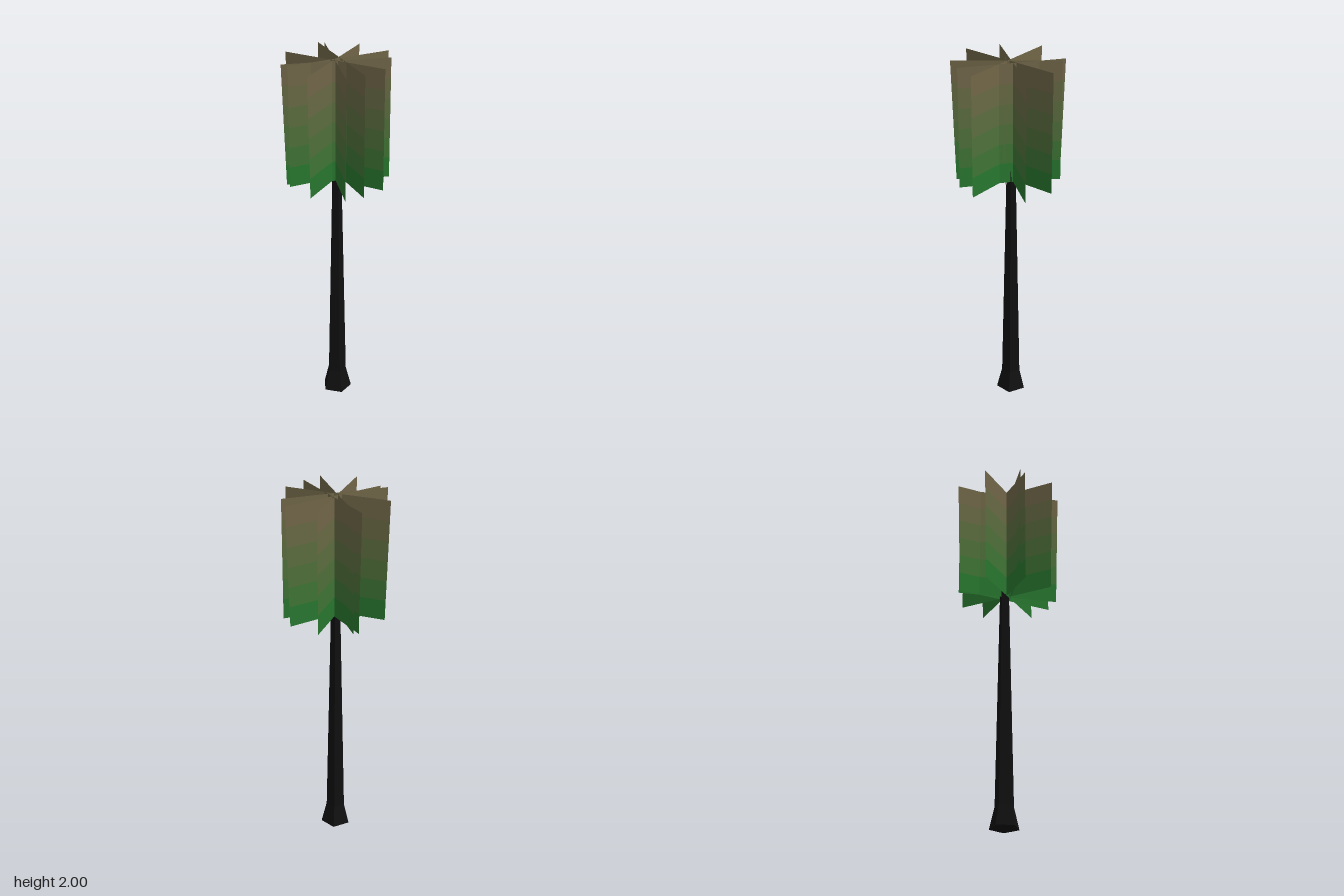
import * as THREE from 'three';

const TOP = 2, BOTTOM = 1.33, BANDS = 6;

// Each blade seen from above: short end (x, z), then long end (x, z)
const BLADES = [
  [0.168, 0.22, -0.215, -0.21],
  [0.025, -0.272, -0.068, 0.295],
  [0.19, -0.192, -0.235, 0.19],
  [0.265, 0.067, -0.3, -0.03],
  [-0.275, 0.007, 0.295, -0.04],
  [0.04, 0.272, -0.005, -0.295],
];

// Upright strip of a blade between two heights (t = 0 bottom, 1 top);
// the long end leans outward towards the top
function bladeStrip([ax, az, bx, bz], t0, t1) {
  const corners = [];
  for (const t of [t0, t1]) {
    const y = THREE.MathUtils.lerp(BOTTOM, TOP, t);
    const k = 1 - 0.035 * (1 - t);
    corners.push(ax, y, az, ax + (bx - ax) * k, y, az + (bz - az) * k);
  }
  const geometry = new THREE.BufferGeometry();
  geometry.setAttribute('position', new THREE.Float32BufferAttribute(corners, 3));
  geometry.setIndex([0, 1, 3, 0, 3, 2]);
  geometry.computeVertexNormals();
  return geometry;
}

export function createModel() {
  const model = new THREE.Group();
  model.name = 'tree';

  // Five-sided trunk with a flared foot
  const profile = [[0, 0], [0.083, 0], [0.053, 0.12], [0.027, 1.33], [0.018, 1.7], [0, 1.7]]
    .map(([r, y]) => new THREE.Vector2(r, y));
  const trunk = new THREE.Mesh(
    new THREE.LatheGeometry(profile, 5),
    new THREE.MeshStandardMaterial({ color: 0x101011, flatShading: true }),
  );
  trunk.name = 'trunk';
  trunk.position.set(-0.006, 0, -0.012);
  model.add(trunk);

  // Foliage colour bands, green at the bottom fading to brown at the top
  const green = new THREE.Color(0x14782c), brown = new THREE.Color(0x75644a);
  const materials = Array.from({ length: BANDS }, (_, i) => new THREE.MeshStandardMaterial({
    color: green.clone().lerp(brown, (i + 0.5) / BANDS),
    side: THREE.DoubleSide,
    flatShading: true,
  }));

  // Crossed foliage blades
  const foliage = new THREE.Group();
  foliage.name = 'foliage';
  for (const ends of BLADES) {
    const blade = new THREE.Group();
    blade.name = 'foliageBlade';
    materials.forEach((material, i) => {
      const strip = new THREE.Mesh(bladeStrip(ends, i / BANDS, (i + 1) / BANDS), material);
      strip.name = 'bladeBand';
      blade.add(strip);
    });
    foliage.add(blade);
  }
  model.add(foliage);

  return model;
}
